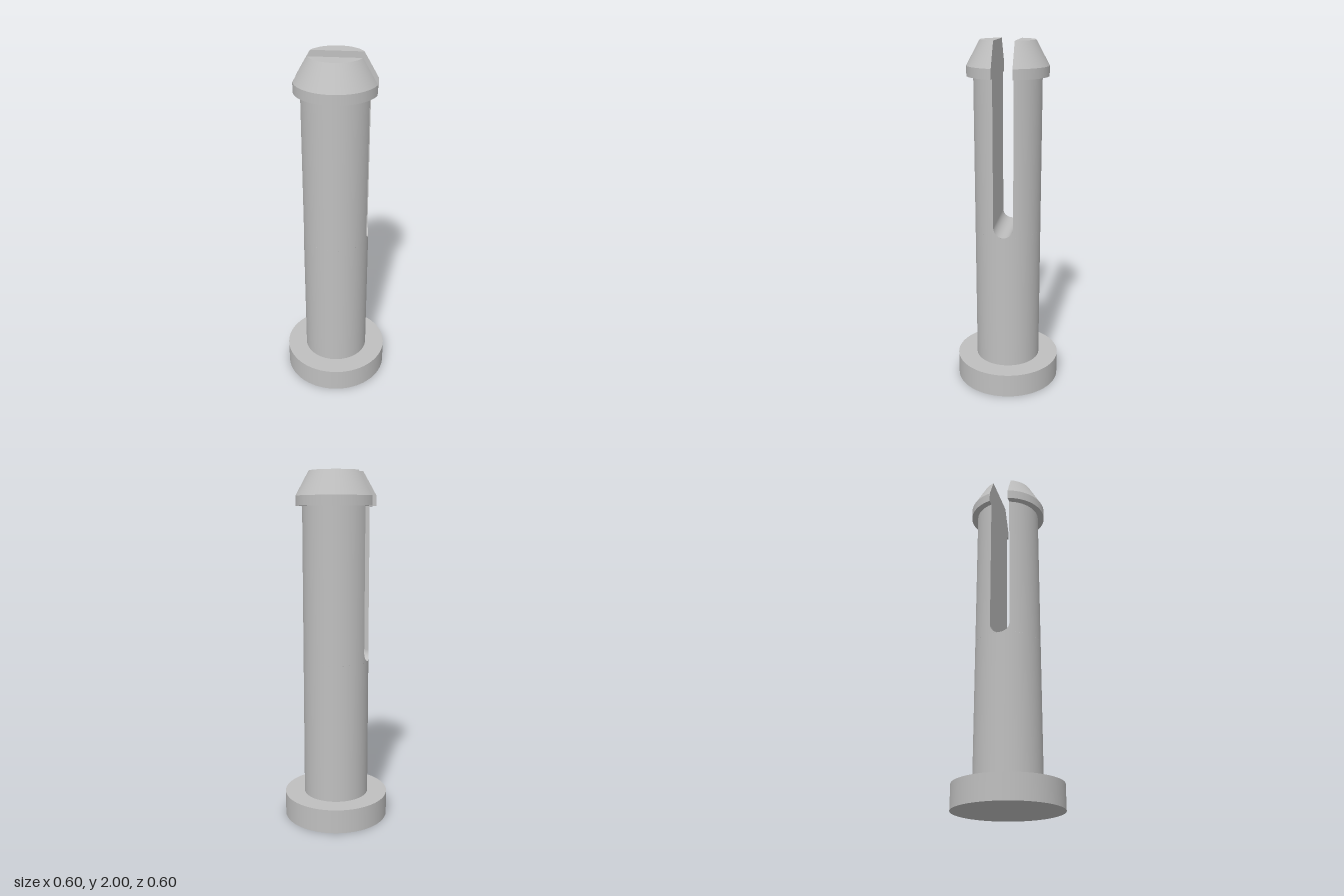
import * as THREE from 'three';
import { ParametricGeometry } from 'three/addons/geometries/ParametricGeometry.js';

const SHAFT_R = 0.188, SLOT = 0.056, SLOT_Y = 0.996;
const BASE_R = 0.302, BASE_H = 0.138;
const BARB_Y = 1.81, BARB_R = 0.225, TIP_R = 0.151;
const SEG = 64;

export function createModel() {
  const grey = new THREE.MeshStandardMaterial({ color: 0xbfbfbf });
  grey.name = 'plain grey';
  const model = new THREE.Group();
  model.name = 'splitPin';

  const add = (parent, name, geometry, y = 0) => {
    const mesh = new THREE.Mesh(geometry, grey);
    mesh.name = name;
    mesh.position.y = y;
    parent.add(mesh);
  };

  // Foot flange and the solid lower shaft
  add(model, 'flange', new THREE.CylinderGeometry(BASE_R, BASE_R, BASE_H, 2 * SEG), BASE_H / 2);
  const solidTop = SLOT_Y - SLOT;
  add(model, 'lowerShaft',
    new THREE.CylinderGeometry(SHAFT_R, SHAFT_R, solidTop - BASE_H, 2 * SEG, 1, true),
    (solidTop + BASE_H) / 2);

  // A section gives radius r, height y and slot half-width w at v = 0..1
  const band = (r0, y0, r1, y1) => v => ({ r: r0 + (r1 - r0) * v, y: y0 + (y1 - y0) * v, w: SLOT });
  const groove = v => ({
    r: SHAFT_R,
    y: SLOT_Y - SLOT * Math.cos(v * Math.PI / 2),
    w: SLOT * Math.sin(v * Math.PI / 2),
  });

  // Curved outside of one half, from the left slot edge to the right one
  const skin = (section, stacks) => new ParametricGeometry((u, v, p) => {
    const { r, y, w } = section(v);
    const a = Math.asin(w / r);
    const t = Math.PI - a - u * (Math.PI - 2 * a);
    p.set(r * Math.cos(t), y, r * Math.sin(t));
  }, SEG, stacks);

  // Slot wall joining the two edges of the outside
  const wall = (section, stacks) => new ParametricGeometry((u, v, p) => {
    const { r, y, w } = section(v);
    p.set(Math.sqrt(r * r - w * w) * (1 - 2 * u), y, w);
  }, 2, stacks);

  // Flat end of a prong
  const cap = new ParametricGeometry((u, v, p) => {
    const a = Math.asin(SLOT / TIP_R);
    const t = Math.PI - a - u * (Math.PI - 2 * a);
    const z = TIP_R * Math.sin(t);
    p.set(TIP_R * Math.cos(t), 2, z + (SLOT - z) * v);
  }, SEG, 1);
  // Flat lid: fixed normals avoid degenerate corners
  const n = cap.attributes.normal;
  for (let i = 0; i < n.count; i++) n.setXYZ(i, 0, 1, 0);

  const parts = [
    ['slotRound', groove, 16],
    ['prongShaft', band(SHAFT_R, SLOT_Y, SHAFT_R, BARB_Y), 1],
    ['barbRim', band(BARB_R, BARB_Y, BARB_R, 1.865), 1],
    ['barbCone', band(BARB_R, 1.865, TIP_R, 2), 10],
  ];

  // Two mirrored prongs
  for (const [name, angle] of [['frontProng', 0], ['backProng', Math.PI]]) {
    const prong = new THREE.Group();
    prong.name = name;
    prong.rotation.y = angle;
    for (const [part, section, stacks] of parts) {
      add(prong, part, skin(section, stacks));
      add(prong, part + 'SlotWall', wall(section, stacks));
    }
    add(prong, 'barbUnderside', skin(band(SHAFT_R, BARB_Y, BARB_R, BARB_Y), 1));
    add(prong, 'prongTip', cap);
    model.add(prong);
  }
  return model;
}
